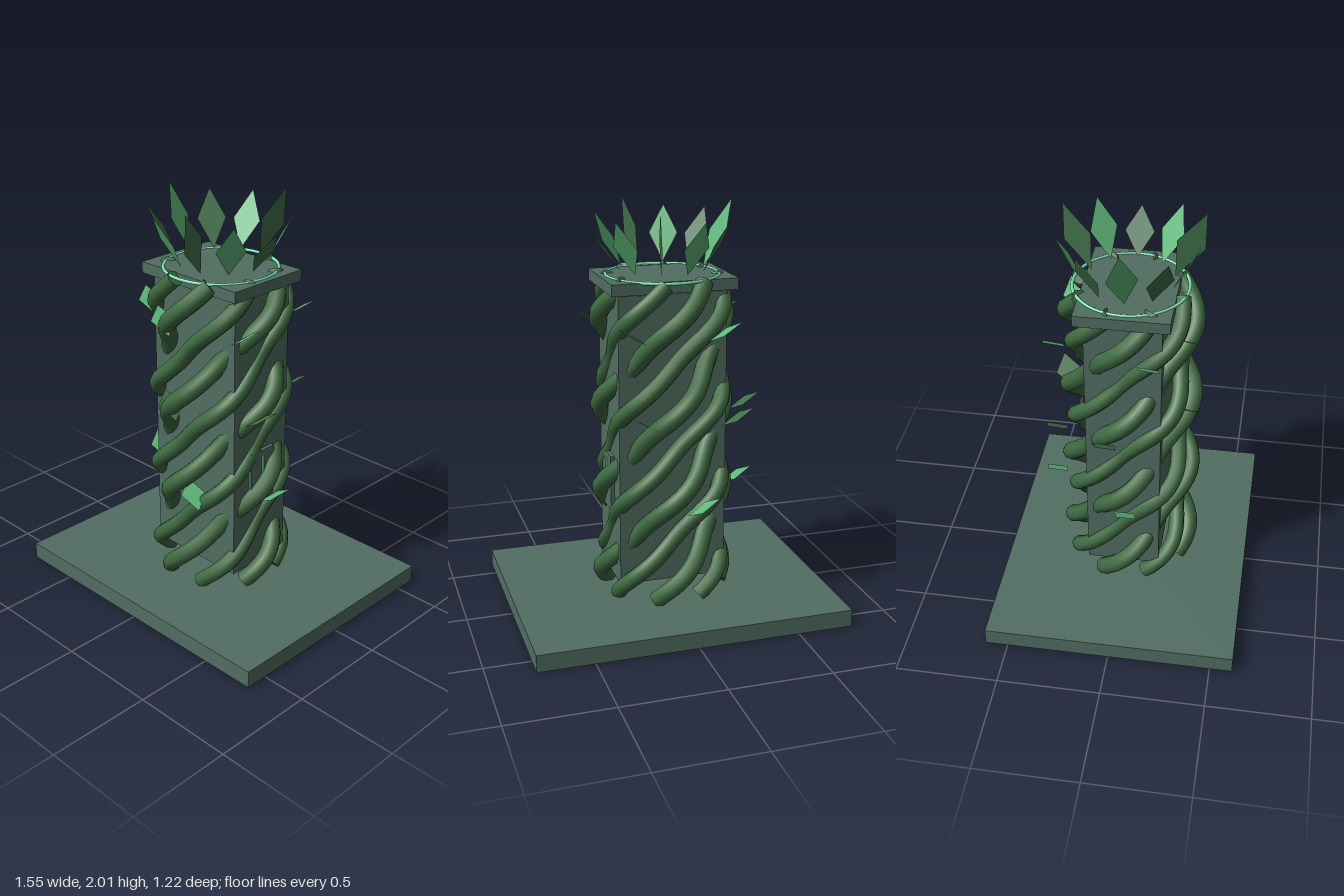
import * as THREE from 'three';

export function createModel() {
  const model = new THREE.Group();
  const mat = (name, color, side = THREE.FrontSide) => {
    const m = new THREE.MeshStandardMaterial({ color, side });
    m.name = name;
    return m;
  };
  const stone = mat('stone', 0x526e63);
  const vineGreen = mat('vine green', 0x3f6b42);
  const brightLeaf = mat('bright leaf green', 0x60b87c, THREE.DoubleSide);
  const darkLeaf = mat('dark leaf green', 0x41704a, THREE.DoubleSide);
  const glow = mat('mint glow', 0x80e6b8);
  const V = (x, y, z) => new THREE.Vector3(x, y, z);

  const add = (name, geometry, material, parent = model) => {
    const mesh = new THREE.Mesh(geometry, material);
    mesh.name = name;
    parent.add(mesh);
    return mesh;
  };
  const box = (name, w, d, y0, y1, material = stone) => {
    const mesh = add(name, new THREE.BoxGeometry(w, y1 - y0, d), material);
    mesh.position.y = (y0 + y1) / 2;
    return mesh;
  };
  const group = (name) => {
    const g = new THREE.Group();
    g.name = name;
    model.add(g);
    return g;
  };

  // Stone pillar
  box('base', 1.55, 1.22, 0, 0.085);
  box('column', 0.53, 0.36, 0.17, 1.6);
  box('cap', 0.61, 0.44, 1.61, 1.665);

  // Side panel with its glowing slit
  box('sidePanel', 0.03, 0.16, 0.52, 0.8).position.x = 0.268;
  box('panelSlit', 0.009, 0.009, 0.63, 0.77, glow).position.x = 0.286;

  // Glowing ring half sunk into the cap
  const ring = add('glowRing', new THREE.TorusGeometry(0.27, 0.008, 8, 64), glow);
  ring.rotation.x = Math.PI / 2;
  ring.position.y = 1.664;

  // Eight vines spiralling up; neighbours weave in and out in turn, ends cut flat
  const vines = group('vines');
  const y0 = 0.1, y1 = 1.65, pitch = 1.72;
  for (let k = 0; k < 8; k++) {
    const points = [];
    const thickness = k % 2 ? 0.04 : 0.044;
    const weave = k % 2 ? -0.033 : 0.033;
    for (let i = 0; i <= 40; i++) {
      const y = y0 + (y1 - y0) * i / 40;
      const a = -0.38 + k * Math.PI / 4 + (y - y0) / pitch * Math.PI * 2;
      const r = 0.272 + weave * Math.cos(4 * a);
      points.push(V(Math.sin(a) * r * 1.02, y, Math.cos(a) * r));
    }
    const path = new THREE.CatmullRomCurve3(points);
    add('vine', new THREE.TubeGeometry(path, 120, thickness, 10), vineGreen, vines);
    for (const [t, out] of [[0, -1], [1, 1]]) {
      const cut = add('vineEnd', new THREE.CircleGeometry(thickness, 10), vineGreen, vines);
      cut.position.copy(path.getPointAt(t));
      cut.quaternion.setFromUnitVectors(V(0, 0, 1), path.getTangentAt(t).multiplyScalar(out));
    }
  }

  // Flat diamond leaf from a base point to a tip, with a sideways half width
  const leaf = (name, parent, material, base, tip, side) => {
    const mid = base.clone().lerp(tip, 0.5);
    const right = mid.clone().add(side), left = mid.clone().sub(side);
    const geometry = new THREE.BufferGeometry().setFromPoints([base, right, tip, base, tip, left]);
    geometry.computeVertexNormals();
    add(name, geometry, material, parent);
  };

  // Crown of ten leaves leaning outwards, in alternating greens
  const crown = group('crown');
  const heights = [0.2, 0.26, 0.31, 0.26, 0.26, 0.32, 0.26, 0.26, 0.31, 0.26];
  heights.forEach((h, k) => {
    const a = k * Math.PI / 5, c = Math.cos(a), s = Math.sin(a);
    const base = V(c * 0.205, 1.685, s * 0.205);
    const tip = V(c * 0.345, 1.685 + h, s * 0.345);
    let side = V(-s, 0, c).multiplyScalar(0.07);
    // Two leaves stand edge-on to the front, one is slightly twisted
    if (k === 2 || k === 8) side = V(0.012, -0.025, Math.sign(s) * 0.065);
    if (k === 5) side = V(0.016, 0.007, 0.07);
    leaf('crownLeaf', crown, k % 2 ? brightLeaf : darkLeaf, base, tip, side);
  });

  // Leaves sprouting from the vines in three tiers: x, z and pointing side
  const sprouts = group('vineLeaves');
  const tiers = [
    { y: 0.6, material: brightLeaf, at: [[0.385, 0.025, 1], [-0.4, 0.03, -1], [-0.1, -0.36, -1], [0.1, 0.29, -1]] },
    { y: 1.02, material: darkLeaf, at: [[0.36, 0.1, 1], [-0.4, -0.065, -1], [-0.28, -0.31, -1], [0.17, -0.345, 1], [-0.06, 0.28, -1]] },
    { y: 1.44, material: brightLeaf, at: [[0.325, 0.17, 1], [-0.35, 0.13, -1], [-0.205, -0.33, -1], [0.235, -0.31, 1], [-0.1, 0.28, -1]] },
  ];
  for (const { y, material, at } of tiers) {
    for (const [x, z, dir] of at) {
      const centre = V(x, y, z);
      const reach = V(0.072 * dir, 0.05, -0.033);
      const side = V(0.026 * dir, 0.006, 0.056);
      leaf('vineLeaf', sprouts, material, centre.clone().sub(reach), centre.clone().add(reach), side);
    }
  }

  return model;
}
